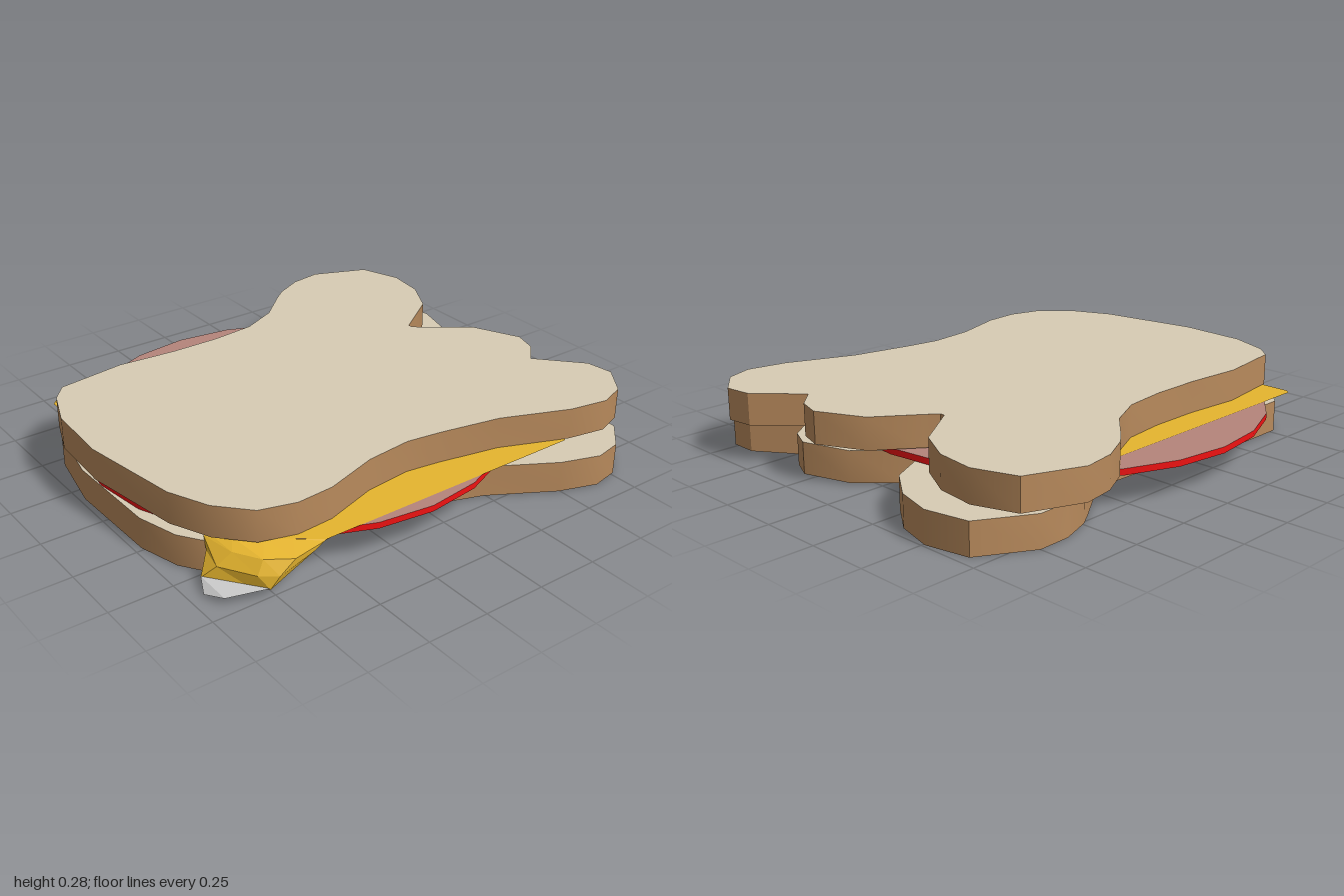
import * as THREE from 'three';
import { ConvexGeometry } from 'three/addons/geometries/ConvexGeometry.js';
import { toCreasedNormals } from 'three/addons/utils/BufferGeometryUtils.js';

const mat = (color, extra = {}) => new THREE.MeshStandardMaterial({ color, ...extra });
const crumb = mat(0xd8ccb4);
const crust = mat(0xb88a5c);
const cheese = mat(0xe6b52e, { side: THREE.DoubleSide });
const cheeseFold = mat(0xe6b52e, { side: THREE.DoubleSide, flatShading: true });

// Outline of a bread slice with two ears and a middle lobe, as (x, z)
const SLICE = [
  [-.17, -.61], [-.19, -.61], [-.26, -.71], [-.33, -.81], [-.48, -.89], [-.64, -.91], [-.81, -.85],
  [-.90, -.63], [-.88, -.50], [-.82, -.38], [-.77, -.32], [-.66, -.20], [-.59, -.05], [-.57, .13],
  [-.57, .34], [-.59, .58], [-.55, .86], [-.48, .92], [-.32, .98], [-.04, .995], [.37, .93],
  [.53, .86], [.65, .75], [.69, .61], [.68, .46], [.61, .24], [.59, .05], [.61, -.09],
  [.66, -.34], [.77, -.61], [.80, -.77], [.76, -.88], [.64, -.97], [.53, -.955], [.36, -.80],
  [.28, -.88], [.18, -.91], [-.01, -.82], [-.13, -.66],
];

// Shape whose y becomes -z when laid flat
const flatShape = (pts) => new THREE.Shape(pts.map(([x, z]) => new THREE.Vector2(x, -z)));

function breadSlice(name, y, turn) {
  const geo = new THREE.ExtrudeGeometry(flatShape(SLICE), { depth: 0.127, bevelEnabled: false });
  geo.rotateX(-Math.PI / 2);
  const mesh = new THREE.Mesh(toCreasedNormals(geo, 0.6), [crumb, crust]);
  mesh.name = name;
  mesh.position.y = y;
  mesh.rotation.y = turn;
  return mesh;
}

// Sheet joining rows of points
function sheet(rows) {
  const n = rows[0].length;
  const index = [];
  for (let r = 0; r < rows.length - 1; r++) {
    for (let i = 0; i < n - 1; i++) {
      const a = r * n + i, b = a + n;
      index.push(a, b, a + 1, a + 1, b, b + 1);
    }
  }
  const geo = new THREE.BufferGeometry();
  geo.setAttribute('position', new THREE.Float32BufferAttribute(rows.flat(2), 3));
  geo.setIndex(index);
  geo.computeVertexNormals();
  return geo;
}

export function createModel() {
  const model = new THREE.Group();

  // Two slices of the same loaf, the lower one turned a little
  model.add(breadSlice('bottomBread', 0, -0.14));
  model.add(breadSlice('topBread', 0.158, 0));

  // Round slice of ham with a red rim
  const hamFace = mat(0xb5857b);
  const ham = new THREE.Mesh(
    new THREE.CylinderGeometry(0.857, 0.857, 0.025, 24),
    [mat(0xf01212), hamFace, hamFace],
  );
  ham.name = 'ham';
  ham.position.set(-0.035, 0.142, 0.12);
  model.add(ham);

  // Thin square of cheese, front corner cut along the fold
  const square = flatShape([
    [-.69, -.59], [-.67, -.61], [.75, -.61], [.77, -.59], [.77, .55],
    [.70, .64], [.64, .72], [.57, .80], [.45, .85], [-.67, .85], [-.69, .83],
  ]);
  const slice = new THREE.Mesh(new THREE.ShapeGeometry(square).rotateX(-Math.PI / 2), cheese);
  slice.name = 'cheeseSlice';
  slice.position.y = 0.1565;
  model.add(slice);

  // Corner of the cheese drooping over the lower slice
  const fold = new THREE.Mesh(sheet([
    [[.77, .156, .55], [.70, .156, .64], [.64, .156, .72], [.57, .156, .80], [.45, .156, .85]],
    [[.77, .152, .56], [.77, .13, .68], [.71, .13, .77], [.61, .13, .83], [.48, .14, .86]],
    [[.77, .14, .58], [.765, .08, .74], [.72, .08, .80], [.59, .08, .88], [.51, .10, .87]],
    [[.77, .13, .60], [.75, .03, .77], [.68, .03, .82], [.55, .03, .92], [.53, .05, .89]],
  ]), cheeseFold);
  fold.name = 'cheeseFold';
  model.add(fold);

  // Pale tip at the end of the fold
  const tipPoints = [
    [.75, .035, .77], [.55, .035, .92], [.70, .03, .92], [.615, .01, .95], [.65, .02, .84],
  ].map((p) => new THREE.Vector3(...p));
  const tip = new THREE.Mesh(new ConvexGeometry(tipPoints), mat(0xcccccc, { flatShading: true }));
  tip.name = 'foldTip';
  model.add(tip);

  return model;
}
